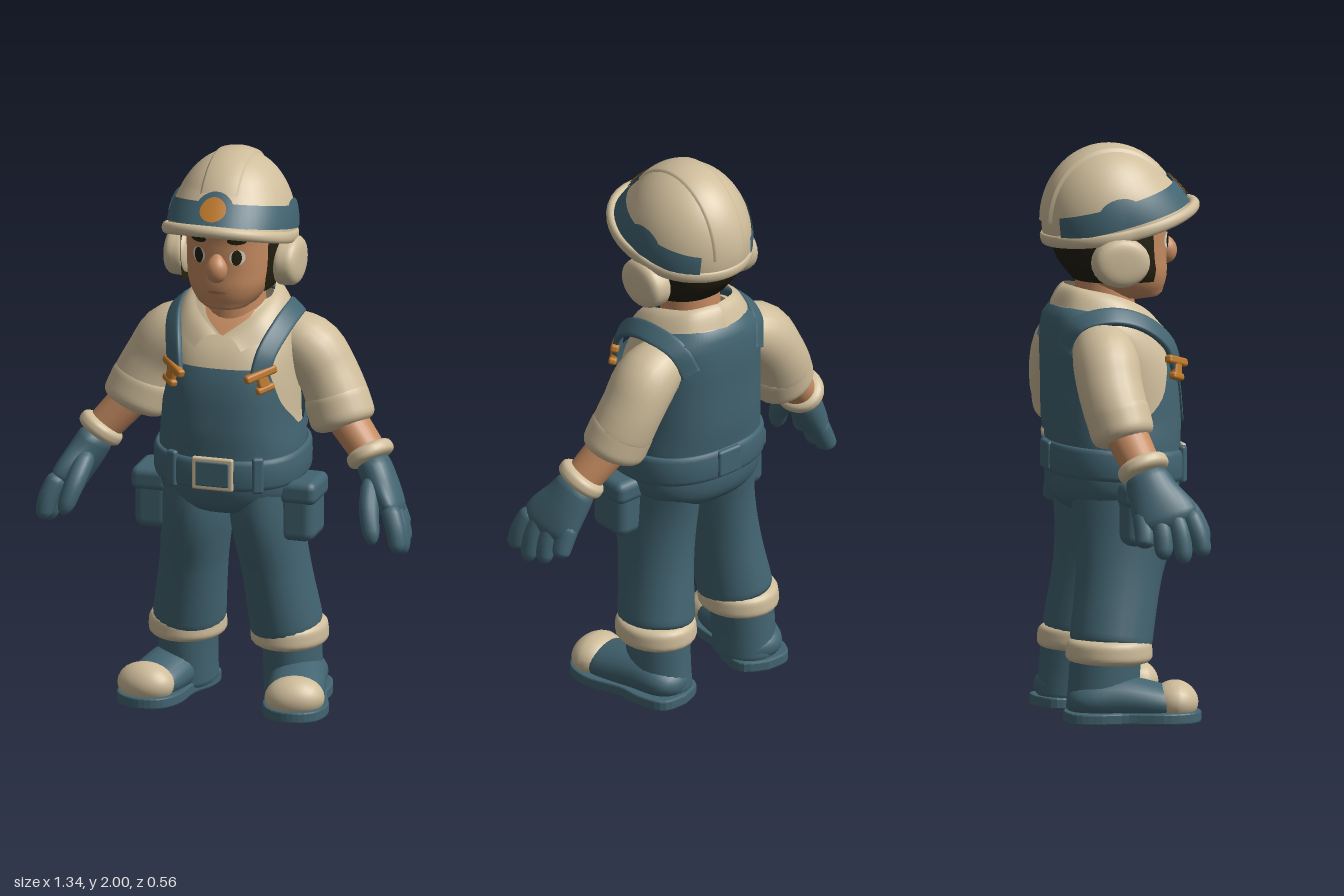
import * as THREE from 'three';
import { ParametricGeometry } from 'three/addons/geometries/ParametricGeometry.js';
import { RoundedBoxGeometry } from 'three/addons/geometries/RoundedBoxGeometry.js';

const paint = (name, color) => new THREE.MeshStandardMaterial({ name, color, side: THREE.DoubleSide });
const V = (x, y, z) => new THREE.Vector3(x, y, z);
const X = V(1, 0, 0), Z = V(0, 0, 1), TAU = Math.PI * 2;

// Smooth interpolation of rows [t, ...values]
function at(keys, t) {
  const n = keys.length - 1;
  t = Math.min(Math.max(t, keys[0][0]), keys[n][0]);
  let i = 0;
  while (i < n - 1 && t > keys[i + 1][0]) i++;
  const h = keys[i + 1][0] - keys[i][0], s = (t - keys[i][0]) / h;
  const slope = (j, k) => {
    const a = keys[Math.max(j - 1, 0)], b = keys[Math.min(j + 1, n)];
    return (b[k] - a[k]) / (b[0] - a[0]);
  };
  return keys[i].slice(1).map((p, m) => {
    const k = m + 1, q = keys[i + 1][k], s2 = s * s, s3 = s2 * s;
    return p * (2 * s3 - 3 * s2 + 1) + q * (3 * s2 - 2 * s3)
      + h * (slope(i, k) * (s3 - 2 * s2 + s) + slope(i + 1, k) * (s3 - s2));
  });
}

const surface = (fn, nu, nv) =>
  new ParametricGeometry((u, v, out) => { const p = fn(u, v); out.set(p[0], p[1], p[2]); }, nu, nv);

// Tube with rows [t, x, y, z, a, b]; a is the radius along ref; ends rounded over fraction e
function sweep(keys, { ref = Z, e = 0.2, p = 2, nu = 24, nv = 20 } = {}) {
  return surface((u, w) => {
    const v = (1 - Math.cos(Math.PI * w)) / 2;
    const [x, y, z, a, b] = at(keys, v);
    const T = V(...at(keys, v + 0.01)).sub(V(...at(keys, v - 0.01))).normalize();
    const B = ref.clone().addScaledVector(T, -T.dot(ref)).normalize(), N = T.clone().cross(B);
    const d = Math.max(0, Math.min(1, Math.min(v, 1 - v) / e));
    const k = 1e-3 + 0.999 * Math.pow(1 - Math.pow(1 - d, p), 1 / p);
    const q = V(x, y, z).addScaledVector(B, a * k * Math.cos(u * TAU)).addScaledVector(N, b * k * Math.sin(u * TAU));
    return [q.x, q.y, q.z];
  }, nu, nv);
}

// Point on an upright body with rows [y, zCentre, rx, rz]; angle 0 faces front
const body = (keys, n) => (a, y, off = 0) => {
  const [zc, rx, rz] = at(keys, y), s = Math.sin(a), c = Math.cos(a);
  const r = Math.pow(Math.abs(s) ** n + Math.abs(c) ** n, -1 / n);
  return [s * r * (rx + off), y, zc + c * r * (rz + off)];
};
const torso = body([[0.69, -0.02, 0.03, 0.04], [0.73, -0.02, 0.17, 0.16], [0.8, -0.025, 0.238, 0.21],
  [0.95, -0.025, 0.24, 0.215], [1.05, -0.03, 0.23, 0.22], [1.2, -0.04, 0.225, 0.213], [1.3, -0.06, 0.22, 0.195],
  [1.38, -0.09, 0.205, 0.16], [1.42, -0.105, 0.17, 0.135], [1.45, -0.11, 0.115, 0.105]], 2.4);
const head = body([[1.445, 0.04, 0.005, 0.005], [1.458, 0.035, 0.075, 0.095], [1.49, 0.022, 0.113, 0.13],
  [1.54, 0.005, 0.14, 0.158], [1.6, -0.018, 0.152, 0.18], [1.7, -0.03, 0.156, 0.193], [1.8, -0.03, 0.156, 0.195],
  [1.88, -0.03, 0.1, 0.12]], 2.25);
const band = (f, y0, y1, a0, a1, off, nu = 32, nv = 12) => surface((u, v) => {
  const y = y0 + (y1 - y0) * v, lo = a0(y), hi = a1(y);
  return f(lo + (hi - lo) * u, y, off);
}, nu, nv);

// Helmet shell in its own frame, flaring forward near the rim
const H = 0.272, RX = 0.215, RZ = 0.243;
const dome = (a, h, off = 0) => {
  const r = Math.sqrt(Math.max(1e-6, 1 - (h / H) ** 2));
  const flare = 0.042 * Math.max(0, Math.cos(a)) ** 1.3 * Math.max(0, 1 - Math.max(0, h) / 0.14) ** 1.4;
  return [Math.sin(a) * (RX * r + off + flare), h, Math.cos(a) * (RZ * r + off + flare)];
};

// Ellipse laid onto a body surface
function spot(f, a0, y0, w, h, off, size = 0.2) {
  return surface((u, v) => f(a0 + (v + 1e-4) * w * Math.cos(u * TAU) / size, y0 + (v + 1e-4) * h * Math.sin(u * TAU), off), 24, 4);
}

export function createModel() {
  const root = new THREE.Group();
  const cream = paint('cream', 0xcfbd9b), blue = paint('workBlue', 0x426471), skin = paint('skin', 0xc48a60),
    hairMat = paint('darkHair', 0x221e0e), orange = paint('orange', 0xc07a2c),
    white = paint('eyeWhite', 0xd9d2c2), lip = paint('lip', 0xa97350);
  const add = (name, geo, mat, parent = root) => {
    const m = new THREE.Mesh(geo, mat);
    m.name = name;
    parent.add(m);
    return m;
  };
  const box = (name, w, h, d, x, y, z, mat, parent, r = 0.01) => {
    const m = add(name, new RoundedBoxGeometry(w, h, d, 2, r), mat, parent);
    m.position.set(x, y, z);
    return m;
  };
  const k = (c) => () => c;

  // Body and overalls
  add('shirt', band(torso, 0.95, 1.45, k(0), k(TAU), 0, 48, 24), cream);
  add('throat', band(torso, 1.355, 1.449, (y) => (1.35 - y) * 7, (y) => (y - 1.35) * 7, 0.005, 16, 8), skin);
  add('trouserTop', band(torso, 0.69, 1.03, k(0), k(TAU), 0.012, 48, 24), blue);
  const fa = [[1, 1.65], [1.05, 1.35], [1.12, 1.03], [1.2, 0.86], [1.255, 0.76]];
  const ba = [[1, 1.5], [1.06, 1.75], [1.15, 2], [1.28, 2.1], [1.37, 1.88], [1.44, 1.75]];
  add('bib', band(torso, 1, 1.255, (y) => -at(fa, y)[0], (y) => at(fa, y)[0], 0.014), blue);
  add('overallsBack', band(torso, 1, 1.44, (y) => at(ba, y)[0], (y) => TAU - at(ba, y)[0], 0.018), blue);
  const pocketEdge = (y) => 0.52 - 0.1 * Math.max(0, 1.06 - y) / 0.04;
  add('bibPocket', band(torso, 1.02, 1.235, (y) => -pocketEdge(y), pocketEdge, 0.023), blue);

  // Belt and buckle
  add('belt', surface((u, v) => {
    const c = v * TAU, p = torso(u * TAU, 0.893, 0.014 + 0.013 * Math.cos(c));
    return [p[0], p[1] + 0.055 * Math.sign(Math.sin(c)) * Math.abs(Math.sin(c)) ** 0.4 - 0.07 * p[2], p[2]];
  }, 48, 16), blue);
  box('buckleFrame', 0.15, 0.118, 0.02, 0, 0.885, 0.211, cream, root, 0.008);
  box('buckleInset', 0.122, 0.09, 0.02, 0, 0.885, 0.214, blue, root, 0.006);
  box('backLoop', 0.1, 0.1, 0.025, 0, 0.915, -0.262, blue);

  // Head
  add('neck', new THREE.CylinderGeometry(0.1, 0.115, 0.22, 24), skin).position.set(0, 1.42, -0.055);
  add('head', band(head, 1.445, 1.88, k(0), k(TAU), 0, 40, 28), skin);
  add('hair', band(head, 1.525, 1.8, (y) => 1.06 + 2 * Math.max(0, 1.57 - y), (y) => TAU - 1.06 - 2 * Math.max(0, 1.57 - y), 0.022), hairMat);
  add('nose', sweep([[0, 0, 1.675, 0.15, 0.014, 0.018], [0.55, 0, 1.625, 0.168, 0.036, 0.038],
    [1, 0, 1.568, 0.166, 0.046, 0.046]], { e: 0.5 }), skin);
  add('mouth', spot(head, 0, 1.53, 0.05, 0.006, 0.003), lip);

  // Helmet
  const helmet = new THREE.Group();
  helmet.name = 'helmet';
  helmet.position.set(0, 1.718, -0.03);
  helmet.rotation.x = -0.21;
  root.add(helmet);
  add('helmetShell', surface((u, v) => dome(u * TAU, H * Math.sin(v * Math.PI / 2)), 40, 20), cream, helmet);
  add('helmetBrim', surface((u, v) => {
    const a = u * TAU, ext = 0.004 + 0.022 * Math.max(0, Math.cos(a)) ** 1.3, c = v * TAU;
    const p = dome(a, 0, ext / 2 + (ext / 2 + 0.007) * Math.cos(c));
    return [p[0], 0.001 + 0.021 * Math.sin(c) - 0.02 * Math.sin(a) ** 2, p[2]];
  }, 48, 14), cream, helmet);
  add('helmetRidge', surface((u, v) => {
    const x = (u * 2 - 1) * 0.07, f = 0.48 + v * 2.42, s = Math.sqrt(1 - (x / RX) ** 2);
    const g = 0.99 + 0.042 * Math.min(1, (1 - Math.abs(u * 2 - 1)) * 8);
    return [x, H * s * g * Math.sin(f), RZ * s * g * Math.cos(f)];
  }, 32, 28), cream, helmet);
  // The band dips towards the back
  const dip = (a, h, off) => dome(a, h - 0.009 * (1 - Math.cos(a)), off);
  add('helmetBand', band(dip, 0.018, 0.098, k(-2.6), k(2.6), 0.006, 48, 8), blue, helmet);
  add('lampMount', spot(dome, 0, 0.08, 0.062, 0.056, 0.011), blue, helmet);
  add('lamp', spot(dome, 0, 0.076, 0.04, 0.042, 0.017), orange, helmet);

  // Everything that comes in pairs
  for (const sx of [1, -1]) {
    const side = new THREE.Group();
    side.name = sx > 0 ? 'leftSide' : 'rightSide';
    side.scale.x = sx;
    root.add(side);
    const put = (name, geo, mat) => add(name, geo, mat, side);

    // Face, ear muff and helmet side mount
    put('eyeWhite', spot(head, 0.45, 1.66, 0.034, 0.028, 0.003), white);
    put('pupil', spot(head, 0.43, 1.66, 0.022, 0.028, 0.006), hairMat);
    put('eyebrow', spot(head, 0.44, 1.722, 0.042, 0.014, 0.008), hairMat);
    put('earMuff', sweep([[0, 0.15, 1.605, -0.05, 0.105, 0.09], [1, 0.245, 1.605, -0.05, 0.1, 0.086]], { e: 0.5, p: 3.5 }), cream);
    const mount = new THREE.Group();
    mount.name = 'sideMount';
    mount.position.copy(helmet.position);
    mount.rotation.copy(helmet.rotation);
    side.add(mount);
    add('sideDisc', spot(dome, 1.62, 0.062, 0.065, 0.052, 0.011), blue, mount);

    // Collar
    const inner = new THREE.CatmullRomCurve3([V(0.012, 1.365, 0.125), V(0.1, 1.43, 0.06), V(0.138, 1.48, -0.05), V(0.1, 1.505, -0.16), V(0, 1.512, -0.2)]);
    const outer = new THREE.CatmullRomCurve3([V(0.085, 1.32, 0.155), V(0.175, 1.365, 0.075), V(0.2, 1.415, -0.06), V(0.135, 1.44, -0.2), V(0, 1.44, -0.25)]);
    put('collar', surface((u, v) => {
      const p = inner.getPoint(u).lerp(outer.getPoint(u), v), puff = 0.015 * Math.sin(v * Math.PI);
      return [p.x, p.y + puff, p.z];
    }, 24, 6), cream);

    // Strap and its clip
    const path = new THREE.CatmullRomCurve3([V(0.15, 1.215, 0.165), V(0.167, 1.31, 0.13), V(0.197, 1.39, 0.03), V(0.205, 1.418, -0.09), V(0.178, 1.385, -0.2), V(0.15, 1.3, -0.24)]);
    put('strap', surface((u, v) => {
      const p = path.getPoint(v), t = path.getTangent(v), n = p.clone().sub(V(0, 1.2, -0.07)).normalize();
      const w = t.clone().cross(n).normalize(), c = u * TAU;
      const sq = (q) => Math.sign(q) * Math.abs(q) ** 0.4;
      p.addScaledVector(w, 0.035 * sq(Math.cos(c))).addScaledVector(n, 0.012 * sq(Math.sin(c)));
      return [p.x, p.y, p.z];
    }, 20, 28), blue);
    const clip = new THREE.Group();
    clip.name = 'strapClip';
    clip.position.set(0.163, 1.23, 0.16);
    clip.rotation.set(-0.15, 0.75, 0.25, 'YXZ');
    side.add(clip);
    box('clipBar', 0.125, 0.03, 0.03, 0, 0.018, 0, orange, clip);
    box('clipStem', 0.045, 0.07, 0.026, 0, -0.01, 0, orange, clip);
    box('clipFoot', 0.07, 0.026, 0.03, 0, -0.036, 0, orange, clip);

    // Arm
    put('sleeve', sweep([[0, 0.12, 1.33, -0.12, 0.085, 0.08], [0.3, 0.245, 1.275, -0.12, 0.114, 0.11],
      [0.6, 0.315, 1.18, -0.12, 0.114, 0.107], [1, 0.375, 1.05, -0.1, 0.11, 0.115]], { e: 0.15 }), cream);
    put('sleeveCuff', sweep([[0, 0.335, 1.14, -0.113, 0.113, 0.115], [1, 0.39, 1.0, -0.087, 0.11, 0.118]], { e: 0.4, p: 3.5 }), cream);
    put('forearm', sweep([[0, 0.37, 1.06, -0.095, 0.078, 0.07], [1, 0.51, 0.9, -0.045, 0.066, 0.06]]), skin);
    put('gloveCuff', sweep([[0, 0.472, 0.953, -0.06, 0.092, 0.083], [1, 0.507, 0.9, -0.043, 0.094, 0.085]], { e: 0.5, p: 3 }), cream);
    const across = V(0.3, 0, 1).normalize();
    put('gloveHand', sweep([[0, 0.485, 0.93, -0.05, 0.07, 0.06], [0.35, 0.53, 0.85, -0.03, 0.088, 0.06],
      [0.75, 0.578, 0.77, 0.0, 0.112, 0.052], [1, 0.605, 0.715, 0.015, 0.108, 0.042]], { ref: across }), blue);
    const tips = [[0.648, 0.635, 0.125], [0.646, 0.612, 0.055], [0.632, 0.628, -0.015], [0.608, 0.668, -0.08]];
    tips.forEach(([x, y, z], i) => {
      const kz = 0.08 - i * 0.052, kx = 0.575 + 0.3 * kz;
      put('finger', sweep([[0, kx, 0.79, kz, 0.034, 0.036], [0.5, (kx + x) / 2 + 0.008, 0.71, (kz + z) / 2 + 0.005, 0.036, 0.034],
        [1, x, y - 0.005, z, 0.03, 0.027]], { nu: 14, nv: 14 }), blue);
    });
    put('thumb', sweep([[0, 0.515, 0.86, 0.01, 0.04, 0.035], [0.5, 0.535, 0.77, 0.105, 0.038, 0.035],
      [1, 0.565, 0.665, 0.16, 0.026, 0.028]], { nu: 14, nv: 14 }), blue);

    // Leg and hip pouch
    put('trouserLeg', sweep([[0, 0.12, 0.88, -0.025, 0.195, 0.12], [0.3, 0.125, 0.7, -0.017, 0.183, 0.122],
      [0.6, 0.148, 0.5, -0.045, 0.152, 0.117], [1, 0.18, 0.25, -0.085, 0.145, 0.128]], { e: 0.08, p: 4, nv: 28 }), blue);
    put('trouserCuff', sweep([[0, 0.185, 0.297, -0.088, 0.148, 0.132], [1, 0.185, 0.198, -0.09, 0.155, 0.138]], { e: 0.5, p: 4 }), cream);
    box('pouch', 0.13, 0.19, 0.165, 0.262, 0.718, 0.015, blue, side, 0.035);
    box('pouchFlap', 0.138, 0.085, 0.182, 0.268, 0.803, 0.015, blue, side, 0.028);
    box('beltLoop', 0.04, 0.13, 0.025, 0.155, 0.885, 0.185, blue, side).rotation.y = 0.45;

    // Boot
    put('bootShaft', sweep([[0, 0.187, 0.27, -0.1, 0.125, 0.105], [0.6, 0.19, 0.13, -0.11, 0.125, 0.102],
      [1, 0.19, 0.02, -0.12, 0.125, 0.102]], { e: 0.1, p: 4 }), blue);
    const boot = new THREE.Group();
    boot.name = 'boot';
    boot.position.set(0.186, 0, -0.253);
    boot.rotation.y = 0.2;
    side.add(boot);
    add('bootFoot', sweep([[0, 0, 0.07, 0.01, 0.095, 0.06], [0.35, 0, 0.085, 0.17, 0.098, 0.08],
      [0.7, 0.005, 0.07, 0.32, 0.1, 0.068], [1, 0.008, 0.06, 0.41, 0.085, 0.05]], { ref: X, e: 0.25, p: 2.5 }), blue, boot);
    add('toeCap', sweep([[0, 0.005, 0.074, 0.305, 0.106, 0.07], [0.5, 0.008, 0.072, 0.39, 0.105, 0.075],
      [1, 0.01, 0.062, 0.467, 0.1, 0.064]], { ref: X, e: 0.55, p: 2.2 }), cream, boot);
    const outline = new THREE.Shape();
    outline.moveTo(0, 0.004);
    outline.splineThru([[0.085, 0.03], [0.106, 0.12], [0.096, 0.22], [0.116, 0.35], [0.085, 0.44], [0.01, 0.472],
      [-0.07, 0.44], [-0.102, 0.35], [-0.088, 0.22], [-0.106, 0.12], [-0.085, 0.03], [0, 0.004]].map((p) => new THREE.Vector2(...p)));
    const sole = new THREE.ExtrudeGeometry(outline, { depth: 0.028, bevelThickness: 0.006, bevelSize: 0.006, bevelSegments: 2, curveSegments: 4 });
    sole.rotateX(Math.PI / 2).translate(0, 0.036, 0);
    add('bootSole', sole, blue, boot);
    const patch = add('soleInset', new THREE.CircleGeometry(1, 24).rotateX(Math.PI / 2), cream, boot);
    patch.scale.set(0.082, 1, 0.125);
    patch.position.set(0.008, 0.0005, 0.335);
  }
  return root;
}
